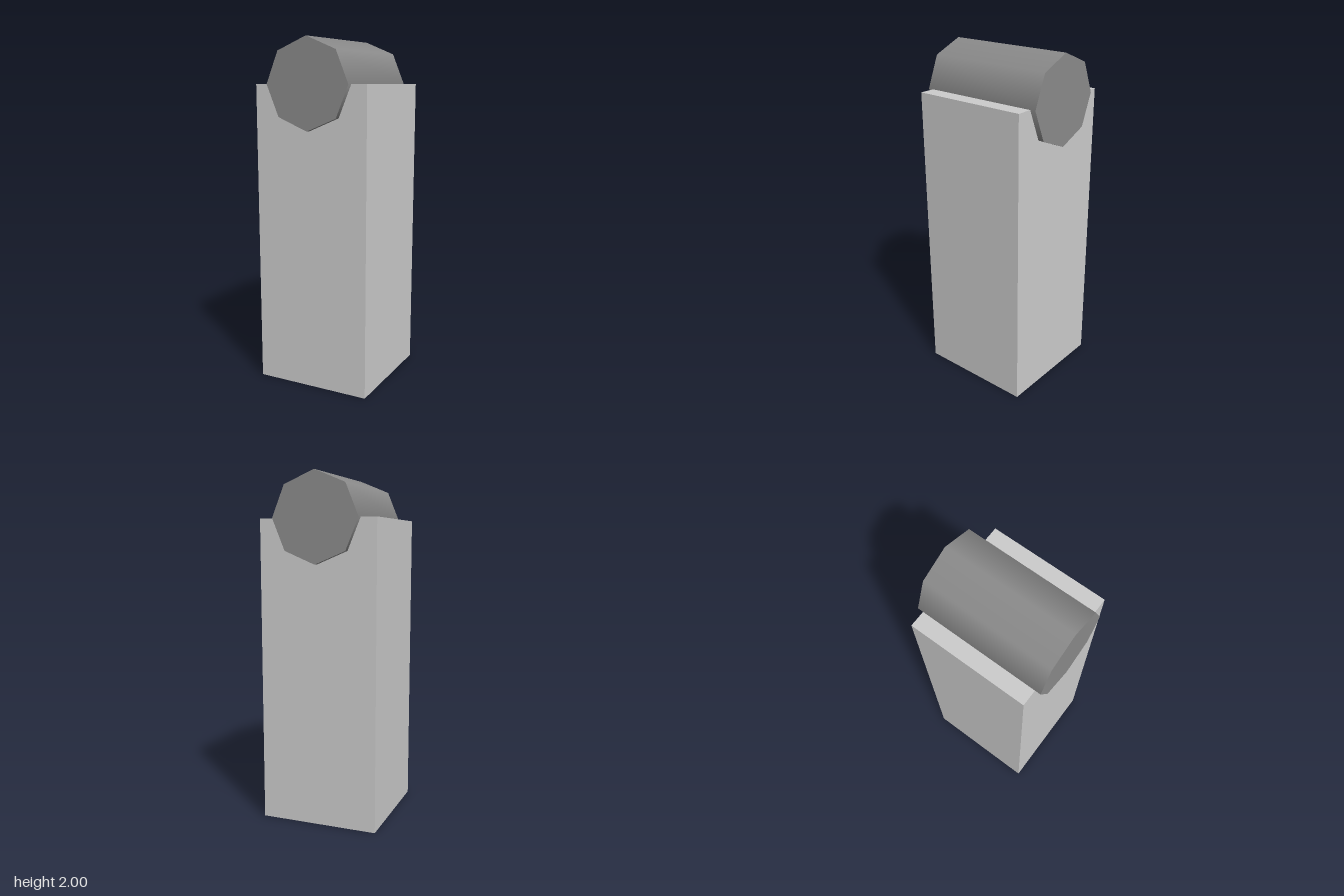
import * as THREE from 'three';

export function createModel() {
  const model = new THREE.Group();
  const width = 0.69, radius = 0.253, axisY = 2 - radius;

  // Square post, its top level with the roller's axis
  const post = new THREE.Mesh(
    new THREE.BoxGeometry(width, axisY, width),
    new THREE.MeshStandardMaterial({ color: 0xcccccc })
  );
  post.name = 'post';
  post.position.y = axisY / 2;

  // Eight-sided roller lying front to back, half sunk into the post
  const roller = new THREE.Mesh(
    new THREE.CylinderGeometry(radius, radius, 0.756, 8).rotateX(Math.PI / 2),
    new THREE.MeshStandardMaterial({ color: 0x8b8b8b })
  );
  roller.name = 'roller';
  roller.position.y = axisY;

  model.add(post, roller);
  return model;
}
